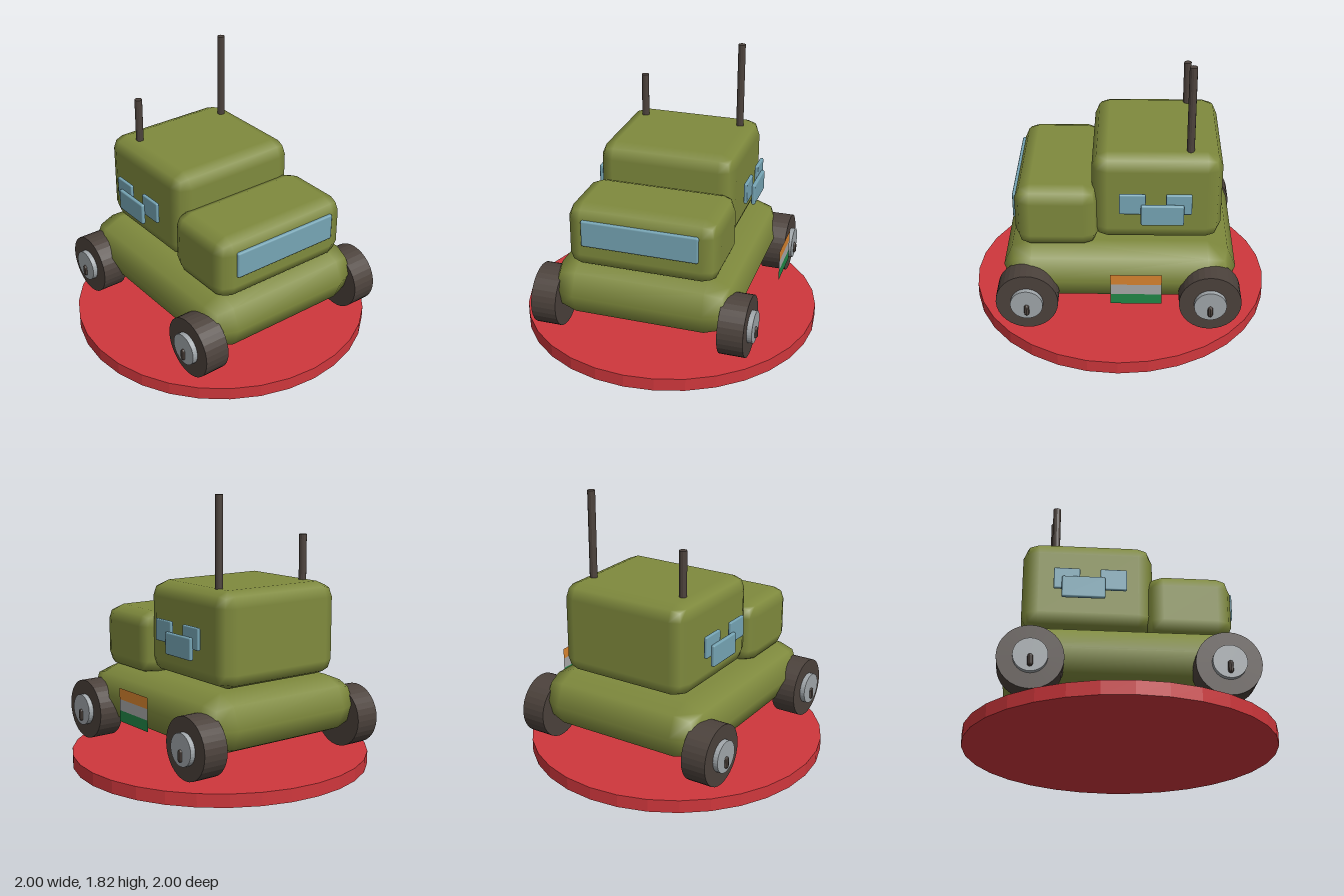
import * as THREE from 'three';
import { RoundedBoxGeometry } from 'three/addons/geometries/RoundedBoxGeometry.js';

export function createModel() {
  const model = new THREE.Group();
  model.name = 'armouredTruck';

  const paint = (name, color, extra = {}) => {
    const m = new THREE.MeshStandardMaterial({ color, ...extra });
    m.name = name;
    return m;
  };
  const flat = { flatShading: true };
  const twoSided = { side: THREE.DoubleSide };
  const olive = paint('olive', 0x7f8a3d);
  const red = paint('red', 0xcf373c, flat);
  const rubber = paint('darkBrown', 0x4c423c, flat);
  const steel = paint('steelGrey', 0xa0a6aa, flat);
  const glass = paint('glassBlue', 0x76a5b5);
  const orange = paint('orange', 0xd98430, twoSided);
  const paleGrey = paint('paleGrey', 0xa9a9a9, twoSided);
  const green = paint('green', 0x218747, twoSided);

  const add = (name, geometry, material, x, y, z, parent = model) => {
    const mesh = new THREE.Mesh(geometry, material);
    mesh.name = name;
    mesh.position.set(x, y, z);
    parent.add(mesh);
    return mesh;
  };

  // Rounded box given by its [min, max] range on each axis
  const block = (name, material, [x0, x1], [y0, y1], [z0, z1], radius) =>
    add(name, new RoundedBoxGeometry(x1 - x0, y1 - y0, z1 - z0, 1, radius), material,
      (x0 + x1) / 2, (y0 + y1) / 2, (z0 + z1) / 2);

  // Round display base
  add('base', new THREE.CylinderGeometry(1, 1, 0.086, 32), red, 0, 0.043, 0);

  // Body
  block('chassis', olive, [-0.62, 0.62], [0.24, 0.63], [-0.76, 0.755], 0.19);
  block('cab', olive, [-0.5, 0.5], [0.6, 1.03], [0.13, 0.67], 0.1);
  block('rearCompartment', olive, [-0.46, 0.46], [0.64, 1.25], [-0.655, 0.175], 0.1);

  // Windows
  block('windscreen', glass, [-0.385, 0.385], [0.768, 0.947], [0.655, 0.686], 0.012);
  for (const s of [1, -1]) {
    const side = (a, b) => (s > 0 ? [a, b] : [-b, -a]);
    block('sideWindowFront', glass, side(0.493, 0.517), [0.88, 1.022], [-0.168, 0], 0.008);
    block('sideWindowRear', glass, side(0.493, 0.517), [0.88, 1.022], [-0.46, -0.295], 0.008);
    block('sideWindowMiddle', glass, side(0.512, 0.54), [0.812, 0.956], [-0.41, -0.137], 0.01);
  }

  // Wheels with hub and small pin
  const tyreGeo = new THREE.CylinderGeometry(0.2, 0.2, 0.168, 32).rotateZ(Math.PI / 2);
  const hubGeo = new THREE.CylinderGeometry(0.104, 0.104, 0.06, 32).rotateZ(Math.PI / 2);
  const pinGeo = new THREE.CapsuleGeometry(0.017, 0.046, 4, 8);
  for (const s of [1, -1]) {
    for (const z of [0.587, -0.587]) {
      const wheel = new THREE.Group();
      wheel.name = 'wheel';
      wheel.position.set(0, 0.33, z);
      model.add(wheel);
      add('tyre', tyreGeo, rubber, s * 0.621, 0, 0, wheel);
      add('hub', hubGeo, steel, s * 0.708, 0, 0, wheel);
      add('hubPin', pinGeo, rubber, s * 0.739, -0.037, 0, wheel);
    }
  }

  // Antennas
  for (const [name, x, top] of [['tallAntenna', 0.344, 1.822], ['shortAntenna', -0.335, 1.545]]) {
    add(name, new THREE.CylinderGeometry(0.025, 0.025, top - 1.2, 12), rubber, x, (top + 1.2) / 2, -0.447);
  }

  // Striped panel standing off the left side
  [orange, paleGrey, green].forEach((material, i) => {
    add('flagStripe', new THREE.PlaneGeometry(0.322, 0.0727).rotateY(Math.PI / 2), material,
      0.762, 0.5535 - i * 0.0727, -0.111);
  });

  return model;
}
